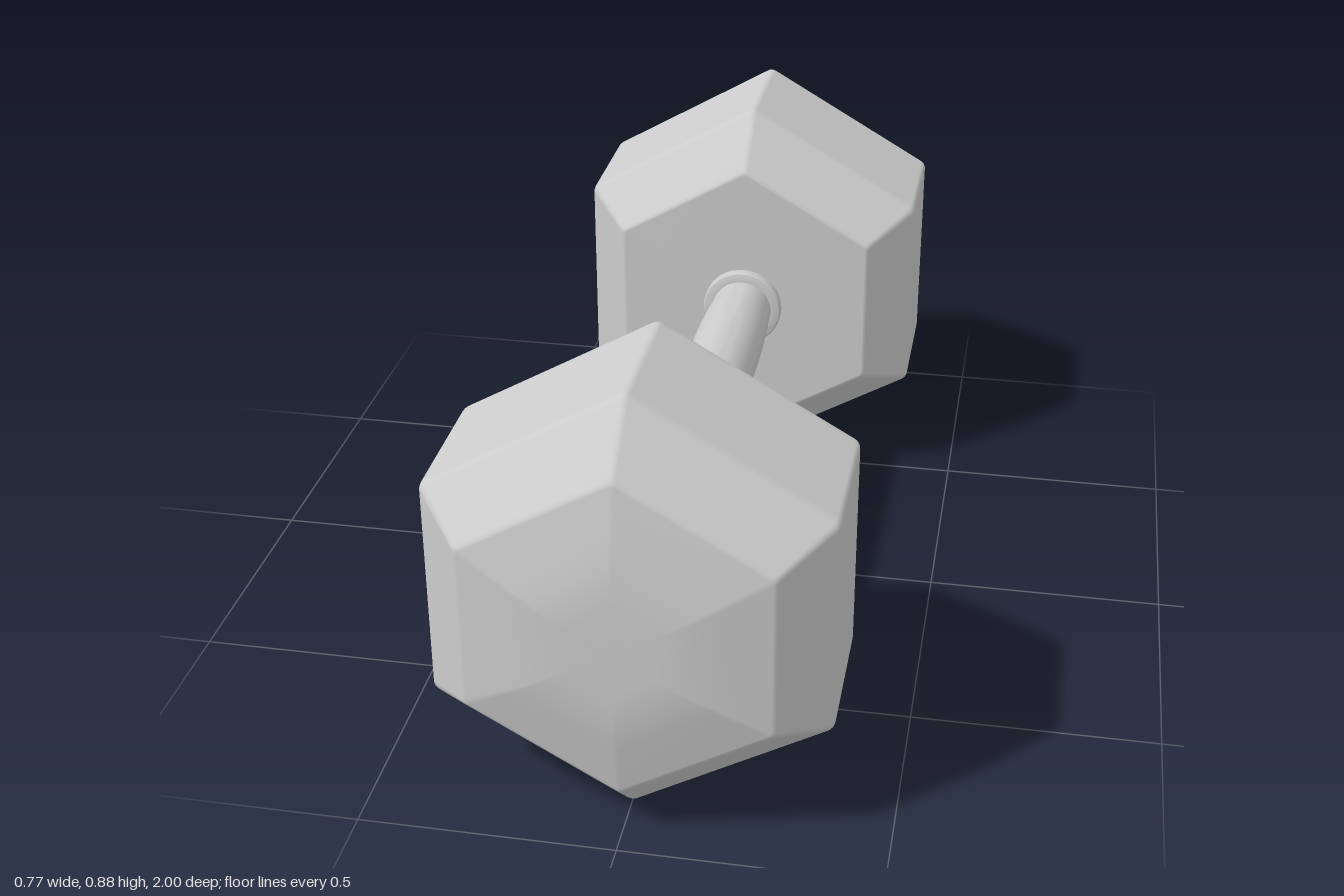
import * as THREE from 'three';
import { toCreasedNormals } from 'three/addons/utils/BufferGeometryUtils.js';

const CENTER_Y = 0.441;
const HEX_RADIUS = 0.4423;

// Replace the corner at b by a short curve that starts r away from it
function roundCorner(a, b, c, r, steps) {
  const start = b.clone().add(a.clone().sub(b).setLength(r));
  const end = b.clone().add(c.clone().sub(b).setLength(r));
  return new THREE.QuadraticBezierCurve(start, b, end).getPoints(steps);
}

// Hexagon with softened corners, one corner pointing up, counterclockwise
function hexOutline() {
  const corners = Array.from({ length: 6 }, (_, i) => {
    const a = Math.PI / 2 + (i * Math.PI) / 3;
    return new THREE.Vector2(Math.cos(a), Math.sin(a)).multiplyScalar(HEX_RADIUS);
  });
  return corners.flatMap((c, i) => roundCorner(corners[(i + 5) % 6], c, corners[(i + 1) % 6], 0.011, 4));
}

// Outline scale against z, from the inner face to the domed outer face
function headProfile() {
  const pts = [
    [0, 0.44], [0.75, 0.44], [1, 0.555], [1, 0.85], [0.75, 0.965], [0.35, 1], [0, 1],
  ].map(([s, z]) => new THREE.Vector2(s, z));
  const soft = pts.slice(1, -1).flatMap((p, i) => roundCorner(pts[i], p, pts[i + 2], i === 4 ? 0.15 : 0.016, 4));
  return [pts[0], ...soft, pts[pts.length - 1]];
}

function headGeometry() {
  const outline = hexOutline();
  const profile = headProfile();
  const n = outline.length;
  const positions = [];
  const index = [];
  profile.forEach((p, i) => {
    outline.forEach((o, j) => {
      positions.push(o.x * p.x, o.y * p.x, p.y);
      if (i === 0) return;
      const k = (j + 1) % n;
      const a = (i - 1) * n + j, b = (i - 1) * n + k;
      const c = i * n + k, d = i * n + j;
      if (i > 1) index.push(a, b, c);
      if (i < profile.length - 1 || i === 1) index.push(a, c, d);
    });
  });
  const geometry = new THREE.BufferGeometry();
  geometry.setAttribute('position', new THREE.Float32BufferAttribute(positions, 3));
  geometry.setIndex(index);
  geometry.computeVertexNormals();
  return geometry;
}

// Lathe around the z axis, from [radius, z] pairs
function turned(pairs) {
  const lathe = new THREE.LatheGeometry(pairs.map(([r, z]) => new THREE.Vector2(r, z)), 48);
  lathe.rotateX(Math.PI / 2);
  return toCreasedNormals(lathe, 0.5);
}

export function createModel() {
  const model = new THREE.Group();
  model.name = 'dumbbell';
  const material = new THREE.MeshStandardMaterial({ color: 0xcccccc });
  const add = (parent, name, geometry) => {
    const mesh = new THREE.Mesh(geometry, material);
    mesh.name = name;
    parent.add(mesh);
  };

  // Grip, slightly thicker in the middle
  const half = [[0.078, 0.1], [0.0775, 0.2], [0.076, 0.27], [0.0725, 0.35], [0.069, 0.39], [0.068, 0.45]];
  const grip = [...half.map(([r, z]) => [r, -z]).reverse(), ...half];
  add(model, 'grip', turned(grip));

  // A head and its collar at each end
  const head = headGeometry();
  const collar = turned([
    [0.066, 0.411], [0.083, 0.411], [0.088, 0.413], [0.091, 0.417], [0.091, 0.433],
    [0.087, 0.435], [0.087, 0.445],
  ]);
  for (const [name, turn] of [['front', 0], ['back', Math.PI]]) {
    const end = new THREE.Group();
    end.name = name + 'End';
    add(end, name + 'Head', head);
    add(end, name + 'Collar', collar);
    end.rotation.y = turn;
    model.add(end);
  }

  model.children.forEach((part) => { part.position.y = CENTER_Y; });
  return model;
}
